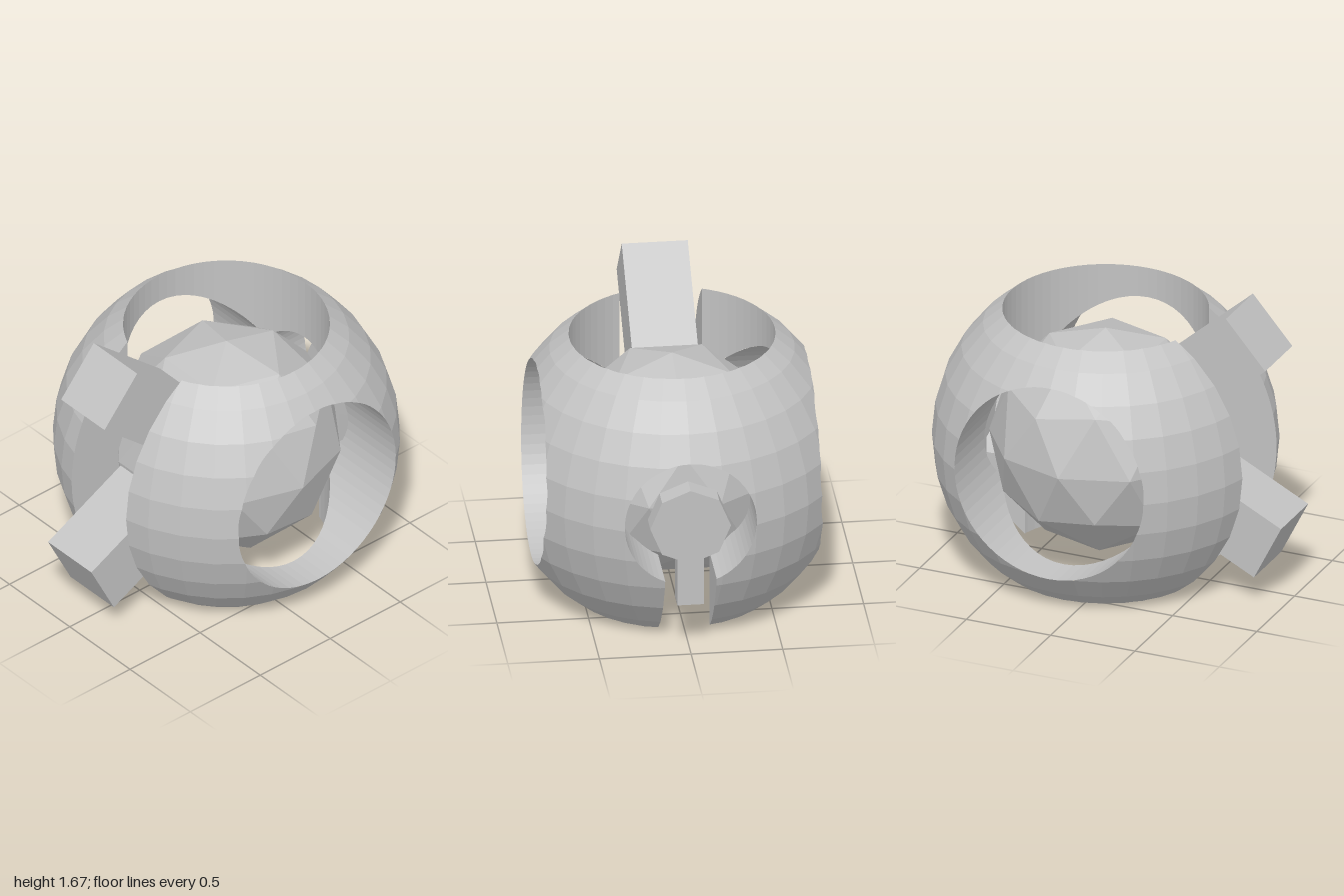
import * as THREE from 'three';

const R = 0.942, BORE = 0.56, PORT = 0.36, LIFT = 0.02;
const CENTRE = [0.12, 0.757, 0];

// Signed tests, positive where shell material may stay (shell centred on the origin)
const inBall = p => R - 0.002 - p.length();
const offVertical = p => Math.hypot(p.x, p.z) - BORE;
const offFrontBack = p => Math.hypot(p.x, p.y - LIFT) - BORE;
const offPort = p => Math.max(Math.hypot(p.z, p.y - LIFT) - PORT, -p.x);
const offArmSlot = p => Math.max(Math.abs(p.z) - 0.225, p.x);
const offKeySlot = p => Math.max(Math.abs(p.z) - 0.14, -p.x, p.y);

// Point where test f changes sign between a and b
function crossing(a, b, f) {
  const sign = f(a) >= 0;
  let lo = 0, hi = 1;
  for (let i = 0; i < 18; i++) {
    const t = (lo + hi) / 2;
    if ((f(a.clone().lerp(b, t)) >= 0) === sign) lo = t; else hi = t;
  }
  return a.clone().lerp(b, (lo + hi) / 2);
}

// Trim one polygon to the side where f is positive
function clip(poly, f) {
  const out = [];
  poly.forEach((a, i) => {
    const b = poly[(i + 1) % poly.length];
    const ka = f(a) >= 0, kb = f(b) >= 0;
    if (ka) out.push(a);
    if (ka !== kb) out.push(crossing(a, b, f));
  });
  return out;
}

// Split each triangle flat, then trim it by all the tests
function trimmed(source, tests, { split = 0, flip = false } = {}) {
  const pos = source.toNonIndexed().attributes.position;
  const out = [];
  const emit = (tri, level) => {
    if (level > 0) {
      const [a, b, c] = tri;
      const mid = (p, q) => p.clone().lerp(q, 0.5);
      const ab = mid(a, b), bc = mid(b, c), ca = mid(c, a);
      [[a, ab, ca], [ab, b, bc], [ca, bc, c], [ab, bc, ca]].forEach(t => emit(t, level - 1));
      return;
    }
    let poly = tri;
    for (const f of tests) {
      poly = clip(poly, f);
      if (poly.length < 3) return;
    }
    if (flip) poly = poly.slice().reverse();
    for (let i = 1; i < poly.length - 1; i++) {
      for (const p of [poly[0], poly[i], poly[i + 1]]) out.push(p.x, p.y, p.z);
    }
  };
  for (let i = 0; i < pos.count; i += 3) {
    emit([0, 1, 2].map(k => new THREE.Vector3().fromBufferAttribute(pos, i + k)), split);
  }
  const geo = new THREE.BufferGeometry();
  geo.setAttribute('position', new THREE.Float32BufferAttribute(out, 3));
  geo.computeVertexNormals();
  return geo;
}

export function createModel() {
  const model = new THREE.Group();
  model.name = 'hollowSphereCore';
  const grey = new THREE.MeshStandardMaterial({ color: 0xc2c2c2 });
  grey.name = 'grey';

  const body = new THREE.Group();
  body.name = 'body';
  body.position.set(...CENTRE);
  model.add(body);
  const add = (name, geo, parent = body) => {
    const mesh = new THREE.Mesh(geo, grey);
    mesh.name = name;
    parent.add(mesh);
    return mesh;
  };

  // Pierced shell
  const shell = new THREE.Group();
  shell.name = 'shell';
  body.add(shell);
  const slots = [offArmSlot, offKeySlot];
  add('shellOuter', trimmed(new THREE.SphereGeometry(R, 32, 16),
    [offVertical, offFrontBack, offPort, ...slots], { split: 2 }), shell);

  // Walls of the round bores
  const tube = r => new THREE.CylinderGeometry(r, r, 2, 64, 24, true);
  add('verticalBoreWall', trimmed(tube(BORE),
    [inBall, offFrontBack, offPort, ...slots], { flip: true }), shell);
  add('frontBackBoreWall', trimmed(tube(BORE).rotateX(Math.PI / 2).translate(0, LIFT, 0),
    [inBall, offVertical, offPort, ...slots], { flip: true }), shell);
  add('sidePortWall', trimmed(tube(PORT).rotateZ(Math.PI / 2).translate(1, LIFT, 0),
    [inBall, offVertical, offFrontBack, offKeySlot], { flip: true }), shell);

  // Flat walls of the two slots
  for (const side of [-1, 1]) {
    const wall = (w, h, x, y, z) => {
      const g = new THREE.PlaneGeometry(w, h, 24, 40);
      if (side > 0) g.rotateY(Math.PI);
      return g.translate(x, y, side * z);
    };
    add('armSlotWall', trimmed(wall(1, 2, -0.5, 0, 0.225),
      [inBall, offVertical, offFrontBack]), shell);
    add('keySlotWall', trimmed(wall(1, 1, 0.5, -0.5, 0.14),
      [inBall, offVertical, offFrontBack, offPort]), shell);
  }

  // Faceted core with a corner straight up
  const core = new THREE.IcosahedronGeometry(0.635, 1);
  core.rotateZ(-Math.atan(2 / (1 + Math.sqrt(5))));
  core.computeVertexNormals();
  add('core', core);

  // Square arms leaving through the slot: outer end x, y and slope
  const arms = [['upperArm', -0.79, 1.535, -0.715], ['lowerArm', -0.92, 0.3175, 0.468]];
  for (const [name, x, y, angle] of arms) {
    const arm = add(name, new THREE.BoxGeometry(0.64, 0.356, 0.36).translate(0.32, 0, 0), model);
    arm.position.set(x, y, 0);
    arm.rotation.z = angle;
  }

  // Key plate in the side port: eight-sided head and a stem
  const key = new THREE.Group();
  key.name = 'key';
  key.position.set(0.92, 0.757, 0);
  model.add(key);
  const head = new THREE.CylinderGeometry(0.22, 0.22, 0.12, 8).rotateZ(Math.PI / 2).toNonIndexed();
  head.computeVertexNormals();
  add('keyHead', head, key);
  add('keyStem', new THREE.BoxGeometry(0.12, 0.34, 0.145).translate(0, -0.297, 0), key);

  return model;
}
